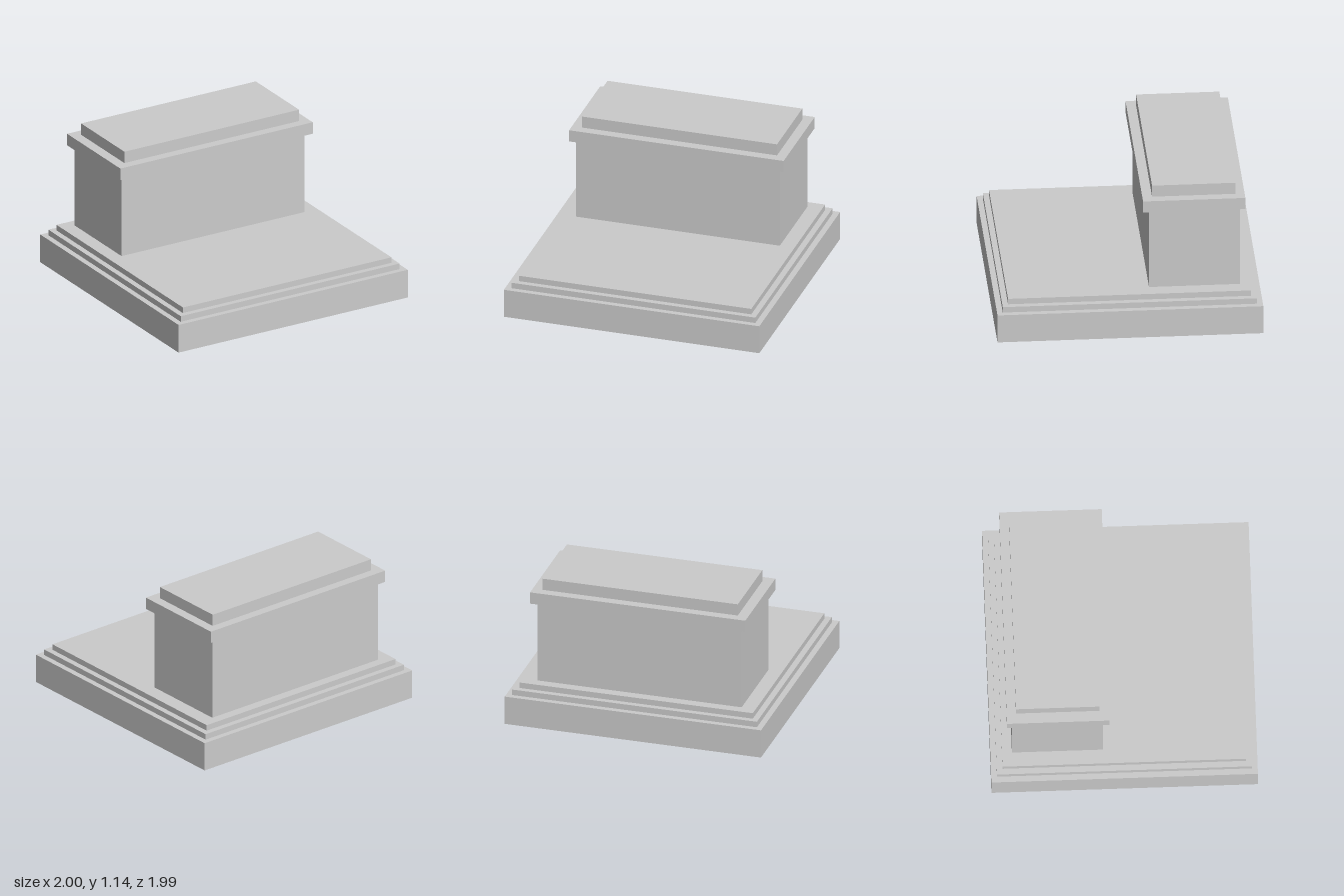
import * as THREE from 'three';

const solid = new THREE.MeshStandardMaterial({ color: 0xcccccc });
const shell = new THREE.MeshStandardMaterial({ color: 0xcccccc, side: THREE.DoubleSide });

// Box given by its extents; an open one has no bottom face
function slab(name, [x0, x1], [y0, y1], [z0, z1], open = false) {
  const geo = new THREE.BoxGeometry(x1 - x0, y1 - y0, z1 - z0);
  if (open) {
    const index = Array.from(geo.index.array);
    index.splice(18, 6); // the downward face
    geo.setIndex(index);
    geo.clearGroups();
  }
  const mesh = new THREE.Mesh(geo, open ? shell : solid);
  mesh.name = name;
  mesh.position.set((x0 + x1) / 2, (y0 + y1) / 2, (z0 + z1) / 2);
  return mesh;
}

export function createModel() {
  const model = new THREE.Group();
  model.name = 'steppedPedestal';

  // Hollow base: three nested bottomless shells, each smaller and set higher
  const base = new THREE.Group();
  base.name = 'base';
  ['plinth', 'lowerStep', 'upperStep'].forEach((name, i) => {
    const x = 1 - i * 0.045, z = 0.995 - i * 0.043, y = i * 0.045;
    base.add(slab(name, [-x, x], [y, y + 0.225], [-z, z], true));
  });
  model.add(base);

  // Block standing at the back of the base
  model.add(slab('block', [-0.8, 0.795], [0.315, 0.96], [-0.835, -0.155]));

  // Overhanging cap and the smaller slab on top
  model.add(slab('cap', [-0.84, 0.84], [0.96, 1.053], [-0.873, -0.107]));
  model.add(slab('topSlab', [-0.76, 0.765], [1.053, 1.145], [-0.803, -0.18]));

  return model;
}
